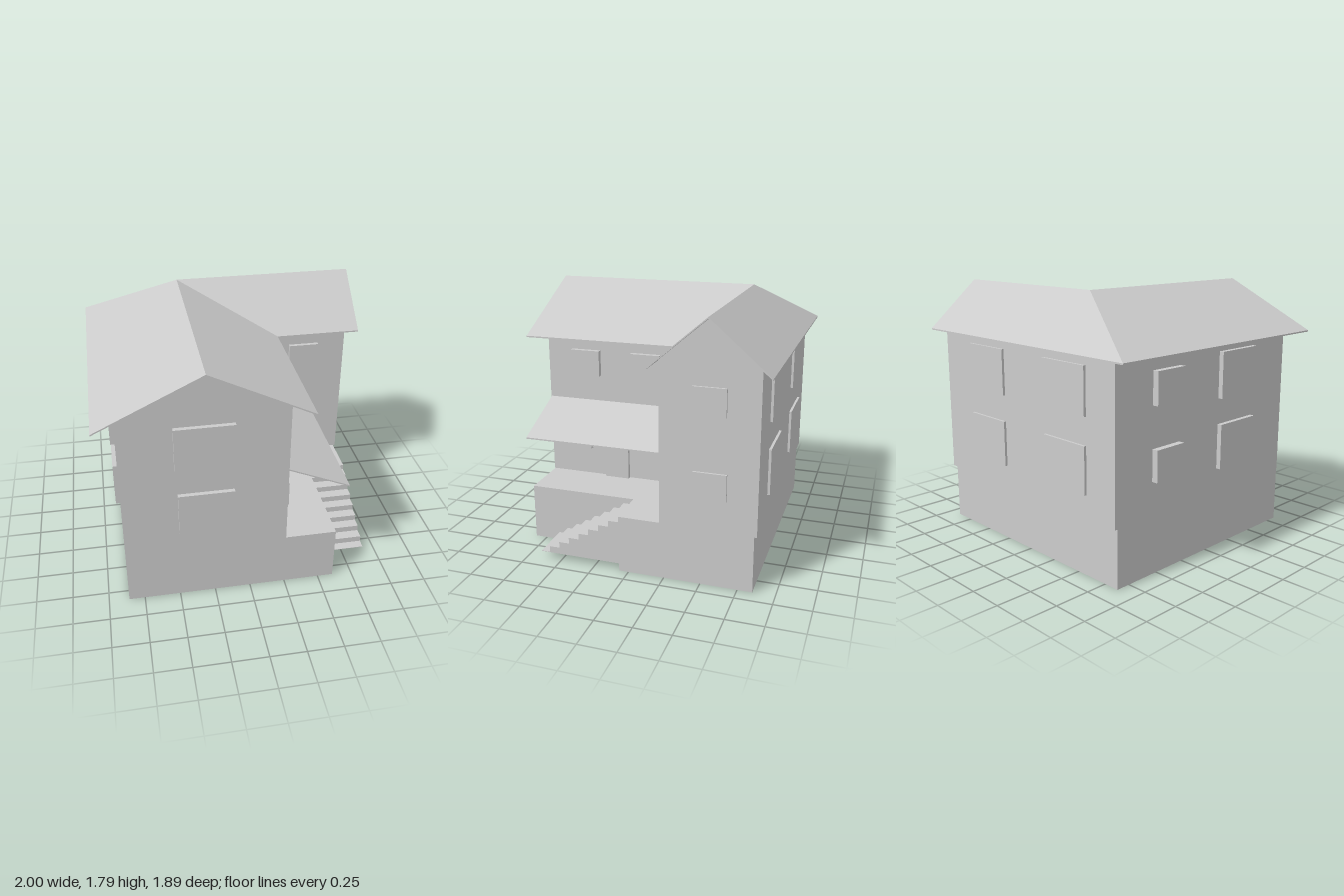
import * as THREE from 'three';
import { ConvexGeometry } from 'three/addons/geometries/ConvexGeometry.js';

const material = new THREE.MeshStandardMaterial({ color: 0xcccccc, flatShading: true });

export function createModel() {
  const house = new THREE.Group();
  house.name = 'house';

  const add = (name, geometry) => {
    const mesh = new THREE.Mesh(geometry, material);
    mesh.name = name;
    house.add(mesh);
  };
  const extrude = (points, depth) => new THREE.ExtrudeGeometry(
    new THREE.Shape(points.map(([a, b]) => new THREE.Vector2(a, b))),
    { depth, bevelEnabled: false });
  // Box given by its two corners
  const box = (name, x0, x1, y0, y1, z0, z1) => add(name,
    new THREE.BoxGeometry(x1 - x0, y1 - y0, z1 - z0)
      .translate((x0 + x1) / 2, (y0 + y1) / 2, (z0 + z1) / 2));
  // Floor plan of (x, z) points raised from y0 to y1
  const storey = (name, plan, y0, y1) => add(name,
    extrude(plan.map(([x, z]) => [x, -z]), y1 - y0).rotateX(-Math.PI / 2).translate(0, y0, 0));
  // Profile of (z, y) points drawn out from x0 to x1
  const sideways = (name, profile, x0, x1) => add(name,
    extrude(profile, x1 - x0).rotateY(-Math.PI / 2).translate(x1, 0, 0));
  // Flat sloping panel with a small vertical thickness
  const slab = (name, corners, thickness) => add(name, new ConvexGeometry(
    corners.flatMap(([x, y, z]) => [new THREE.Vector3(x, y, z), new THREE.Vector3(x, y - thickness, z)])));
  // L-shaped plan: full depth up to xIn, shallower up to xOut
  const lPlan = (xMin, xIn, xOut, zBack, zIn, zFront) => [
    [xMin, zBack], [xOut, zBack], [xOut, zIn], [xIn, zIn], [xIn, zFront], [xMin, zFront]];

  // Base with a notch for the stairs, and the house walls above it
  storey('base', lPlan(-0.86, 0.61, 0.9, -0.85, 0.066, 0.835), 0, 0.4);
  storey('walls', lPlan(-0.86, 0.25, 0.915, -0.87, -0.225, 0.84), 0.4, 1.495);

  // Gable tops
  add('frontGable', extrude([[-0.86, 1.49], [0.25, 1.49], [0.25, 1.512],
    [-0.305, 1.783], [-0.86, 1.514]], 0.02).translate(0, 0, 0.82));
  sideways('sideGable', [[-0.87, 1.49], [-0.225, 1.49], [-0.225, 1.499],
    [-0.555, 1.783], [-0.87, 1.511]], 0.895, 0.915);

  // Roof: two ridges meeting in a hip and a valley
  const R = 1.794, E = 1.457, T = 0.01;
  const meet = [-0.305, R, -0.555], hip = [-1, E, -0.945], valley = [0.385, E, -0.165];
  const frontRidge = [-0.305, R, 0.945], sideRidge = [1, R, -0.555];
  slab('roofLeft', [hip, [-1, E, 0.945], frontRidge, meet], T);
  slab('roofRight', [meet, frontRidge, [0.385, E, 0.945], valley], T);
  slab('roofWingFront', [meet, valley, [1, E, -0.165], sideRidge], T);
  slab('roofBack', [hip, meet, sideRidge, [1, E, -0.945]], T);

  // Porch canopy
  slab('canopy', [[0.25, 0.98, -0.225], [0.25, 0.98, 0.835],
    [0.677, 0.797, 0.835], [0.677, 0.797, -0.225]], 0.01);

  // Stairs
  const steps = 7, bottom = 0.056, zTop = 0.066, run = 0.0735, rise = 0.0434;
  const profile = [[zTop, bottom]];
  for (let i = 0; i < steps; i++) {
    const y = 0.36 - i * rise;
    profile.push([zTop + i * run, y], [zTop + (i + 1) * run, y]);
  }
  profile.push([zTop + steps * run, bottom]);
  sideways('stairs', profile, 0.61, 0.9);
  box('bottomStep', 0.61, 0.9, bottom - 0.003, bottom, zTop, 0.645);

  // Front and back windows
  box('frontWindow', -0.505, -0.11, 1.065, 1.385, 0.83, 0.87);
  box('frontWindow', -0.49, -0.115, 0.57, 0.875, 0.83, 0.87);
  for (const [y0, y1] of [[1.065, 1.385], [0.56, 0.88]])
    for (const [x0, x1] of [[0.22, 0.605], [-0.605, -0.21]])
      box('backWindow', x0, x1, y0, y1, -0.887, -0.86);

  // Windows of the long blank side
  for (const [y0, y1] of [[1.065, 1.385], [0.57, 0.885]]) {
    box('largeSideWindow', -0.893, -0.85, y0, y1, 0.1, 0.47);
    box('smallSideWindow', -0.903, -0.85, y0 + 0.06, y1 - 0.04, -0.545, -0.295);
  }

  // Wing windows
  box('wingEndWindow', 0.9, 0.93, 1.17, 1.355, -0.66, -0.44);
  box('wingEndWindow', 0.9, 0.93, 0.62, 0.8, -0.67, -0.45);
  box('wingFrontWindow', 0.49, 0.71, 1.17, 1.352, -0.235, -0.197);

  // Porch side windows and door
  for (const z of [0.435, -0.02])
    box('porchUpperWindow', 0.24, 0.285, 1.17, 1.355, z, z + 0.217);
  box('porchWindow', 0.24, 0.285, 0.605, 0.787, 0.515, 0.735);
  box('door', 0.24, 0.277, 0.4, 0.79, 0.225, 0.405);

  return house;
}
